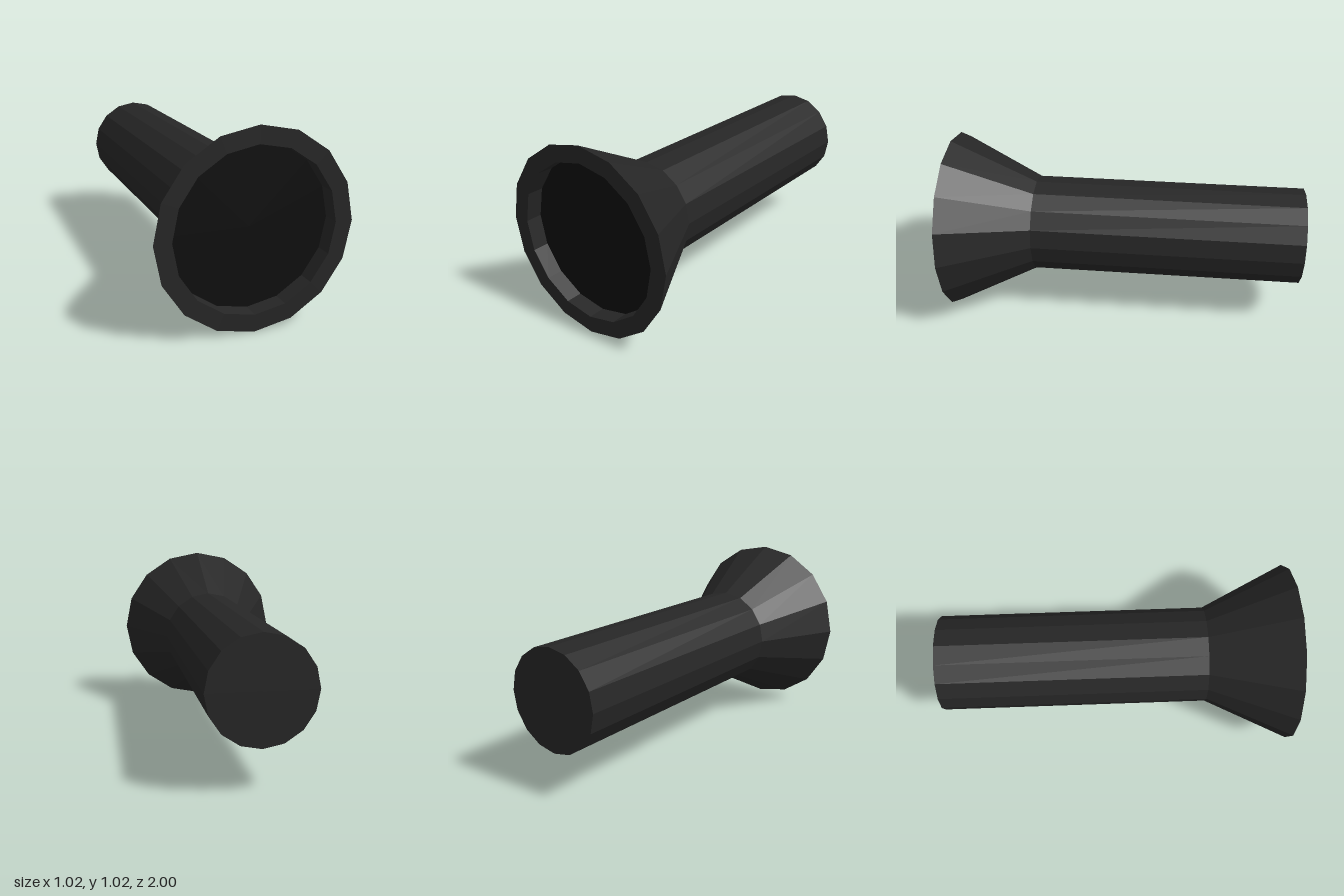
import * as THREE from 'three';

const SIDES = 16;
const AXIS_Y = 0.51;

export function createModel() {
  const group = new THREE.Group();
  group.name = 'flashlight';
  const bodyMat = new THREE.MeshStandardMaterial({ color: 0x262626, flatShading: true });
  const lensMat = new THREE.MeshStandardMaterial({ color: 0x0e0e0e, flatShading: true });

  const add = (name, geometry, material) => {
    const mesh = new THREE.Mesh(geometry, material);
    mesh.name = name;
    mesh.position.y = AXIS_Y;
    group.add(mesh);
    return mesh;
  };
  // Profile of [radius, z] pairs, turned around the z axis
  const turned = (profile) => new THREE.LatheGeometry(
    profile.map(([r, z]) => new THREE.Vector2(r, z)), SIDES).rotateX(Math.PI / 2);

  // Handle with a closed rear end
  add('handle', turned([[0, -1], [0.275, -1], [0.275, 0.525]]), bodyMat);

  // Flared head, flat rim and the straight wall of the recess
  add('head', turned([[0.275, 0.525], [0.51, 1], [0.42, 1], [0.42, 0.91]]), bodyMat);

  // Lens set back inside the rim
  add('lens', new THREE.CircleGeometry(0.42, SIDES), lensMat).position.z = 0.91;

  return group;
}
